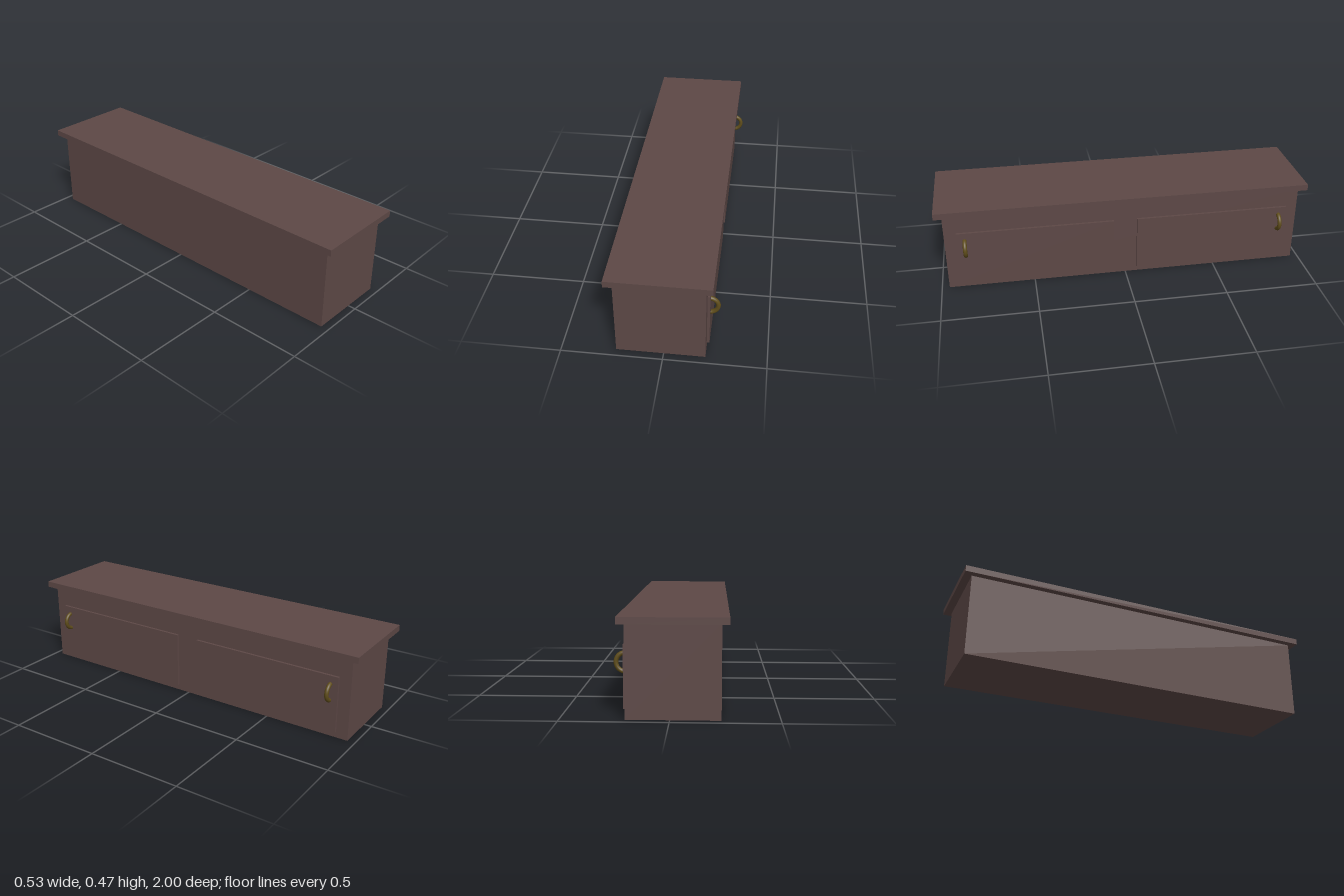
import * as THREE from 'three';

const wood = new THREE.MeshStandardMaterial({ color: 0x5d4846 });
const brass = new THREE.MeshStandardMaterial({ color: 0x5f4d1a });

// Box given by its minimum and maximum corners
function box(name, [x0, y0, z0], [x1, y1, z1]) {
  const mesh = new THREE.Mesh(new THREE.BoxGeometry(x1 - x0, y1 - y0, z1 - z0), wood);
  mesh.position.set((x0 + x1) / 2, (y0 + y1) / 2, (z0 + z1) / 2);
  mesh.name = name;
  return mesh;
}

export function createModel() {
  const cabinet = new THREE.Group();
  cabinet.name = 'lowCabinet';

  // Carcass and overhanging top
  cabinet.add(box('body', [-0.233, 0, -0.96], [0.203, 0.437, 0.96]));
  cabinet.add(box('top', [-0.267, 0.437, -1], [0.236, 0.47, 1]));

  // Two raised doors on the +x side, each with a half-ring handle near its outer end
  const ring = new THREE.TorusGeometry(0.044, 0.011, 16, 32, Math.PI);
  ring.rotateZ(-Math.PI / 2);
  for (const [side, s] of [['front', 1], ['back', -1]]) {
    const z = [0.063 * s, 0.897 * s].sort((a, b) => a - b);
    cabinet.add(box(side + 'Door', [0.203, 0.033, z[0]], [0.216, 0.332, z[1]]));
    const handle = new THREE.Mesh(ring, brass);
    handle.name = side + 'Handle';
    handle.position.set(0.208, 0.245, 0.855 * s);
    cabinet.add(handle);
  }
  return cabinet;
}
